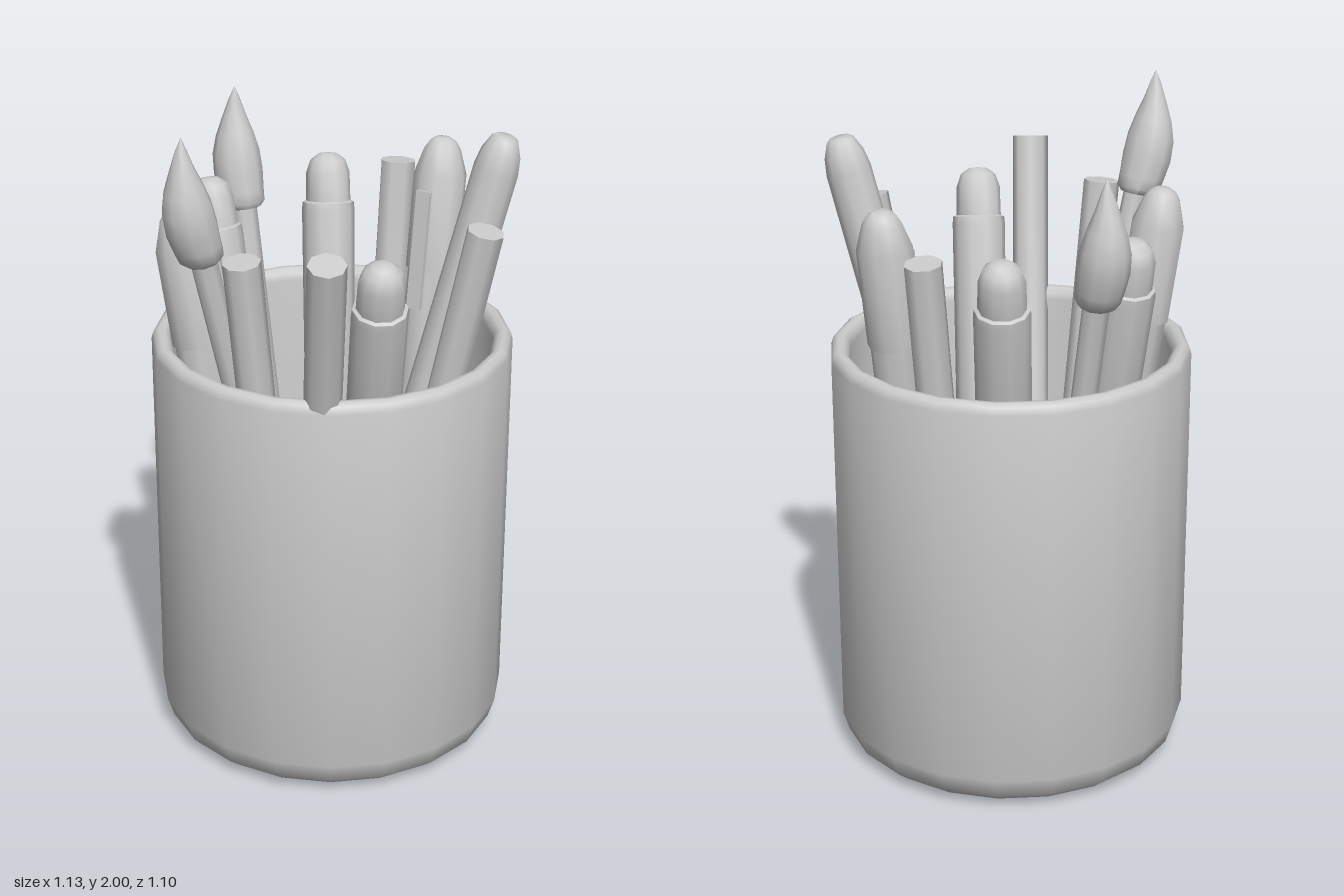
import * as THREE from 'three';
import { toCreasedNormals } from 'three/addons/utils/BufferGeometryUtils.js';

const material = new THREE.MeshStandardMaterial({ color: 0xcccccc });

// Revolved solid with sharp ends and smooth sides
function turned(name, points, sides, bend) {
  const geo = new THREE.LatheGeometry(points.map(([r, y]) => new THREE.Vector2(r, y)), sides);
  if (bend) {
    const p = geo.attributes.position;
    for (let i = 0; i < p.count; i++) p.setX(i, p.getX(i) + bend(p.getY(i)));
  }
  const mesh = new THREE.Mesh(toCreasedNormals(geo, 0.9), material);
  mesh.name = name;
  return mesh;
}

// Group whose local y runs from foot to tip and whose local x is the leaning side
function leaning(name, foot, tip, build) {
  const a = new THREE.Vector3(...foot);
  const dir = new THREE.Vector3(...tip).sub(a);
  const length = dir.length();
  dir.normalize();
  const side = new THREE.Vector3(dir.x, 0, dir.z).addScaledVector(dir, -(1 - dir.y * dir.y)).normalize();
  const group = new THREE.Group();
  group.name = name;
  group.position.copy(a);
  group.quaternion.setFromRotationMatrix(
    new THREE.Matrix4().makeBasis(side, dir, new THREE.Vector3().crossVectors(side, dir)));
  group.add(...build(length));
  return group;
}

function clip(x, y, z, sx, sz) {
  const mesh = new THREE.Mesh(new THREE.BoxGeometry(sx, 0.36, sz), material);
  mesh.name = 'penClip';
  mesh.position.set(x, y, z);
  return mesh;
}

const pencil = (L) => [turned('pencilBody', [[0, 0], [0.054, 0], [0.054, L], [0, L]], 8)];

// Marker with a stepped, domed end
const marker = (L) => [turned('markerBody', [
  [0, 0], [0.06, 0], [0.075, 0.03], [0.08, L - 0.17], [0.078, L - 0.15], [0.068, L - 0.145],
  [0.066, L - 0.06], [0.053, L - 0.022], [0.028, L - 0.003], [0, L]], 10)];

// Capped pen standing cap up, clip on the inner side
const cappedPen = (L) => [
  turned('penBody', [[0, 0], [0.055, 0], [0.07, 0.05], [0.072, L - 0.38], [0, L - 0.38]], 10),
  turned('penCap', [[0, L - 0.4], [0.079, L - 0.4], [0.079, L - 0.11], [0.055, L - 0.035],
    [0.04, L - 0.012], [0.022, L], [0, L]], 10),
  clip(-0.093, L - 0.33, 0, 0.014, 0.045),
];

// Capped pen standing cap down, tapered barrel end up
const invertedPen = (L) => [
  turned('penCap', [[0, 0], [0.04, 0.01], [0.079, 0.1], [0.079, 0.42], [0, 0.42]], 10),
  turned('penBody', [[0, 0.4], [0.07, 0.4], [0.066, L - 0.1], [0.058, L - 0.05],
    [0.04, L - 0.008], [0.03, L], [0, L]], 10),
  clip(0, 0.3, -0.09, 0.045, 0.014),
];

// Paintbrush: thin handle and a bristle head that swells, curls and comes to a point
const H = 0.37;
const brush = (L) => [
  turned('brushHandle', [[0, 0], [0.032, 0], [0.038, 0.1], [0.038, L - H + 0.03], [0, L - H + 0.03]], 8),
  turned('brushHead', [[0, 0], [0.05, 0], [0.064, 0.015], [0.068, 0.05], [0.074, 0.11],
    [0.071, 0.17], [0.057, 0.225], [0.036, 0.28], [0.016, 0.335], [0, H]]
    .map(([r, y]) => [r, y + L - H]), 10,
  (y) => {
    const t = Math.max(0, (y - L + H) / H);
    return 0.065 * t - 0.09 * t * t;
  }),
];

export function createModel() {
  const model = new THREE.Group();
  model.name = 'penHolder';

  // Cup with rounded base and rim, hollow inside
  const cup = turned('cup', [[0, 0], [0.42, 0], [0.475, 0.015], [0.511, 0.045], [0.53, 0.105],
    [0.53, 1.255], [0.523, 1.277], [0.508, 1.286], [0.492, 1.284], [0.478, 1.27], [0.474, 1.25],
    [0.474, 0.06], [0, 0.06]], 20);
  cup.position.set(0.06, 0, 0.017);
  model.add(cup);

  // Contents: name, builder, foot, tip
  const contents = [
    ['backBrush', brush, [0.06, 0.06, -0.16], [0.06, 1.89, -0.505]],
    ['rightBrush', brush, [-0.03, 0.06, 0.055], [-0.515, 1.995, 0.095]],
    ['backMarker', marker, [-0.1, 0.06, -0.04], [-0.1, 1.67, -0.385]],
    ['backLeftMarker', marker, [0.1, 0.06, -0.03], [0.315, 1.67, -0.36]],
    ['frontMarker', marker, [0.13, 0.06, 0.05], [-0.1, 1.67, 0.47]],
    ['leftPen', cappedPen, [0.3, 0.06, 0.04], [0.515, 1.765, -0.05]],
    ['rightPen', cappedPen, [-0.19, 0.06, 0.01], [-0.38, 1.71, -0.12]],
    ['tallPen', invertedPen, [0.08, 0.06, 0.04], [0.45, 1.88, 0.31]],
    ['frontRightPencil', pencil, [-0.05, 0.06, 0.075], [-0.31, 1.73, 0.505]],
    ['frontLeftPencil', pencil, [0.13, 0.06, 0.12], [0.3, 1.66, 0.415]],
    ['leftPencil', pencil, [0.29, 0.06, -0.1], [0.475, 1.655, -0.215]],
    ['rightPencil', pencil, [-0.17, 0.06, 0.13], [-0.375, 1.655, 0.2]],
  ];
  for (const [name, build, foot, tip] of contents) model.add(leaning(name, foot, tip, build));
  return model;
}
